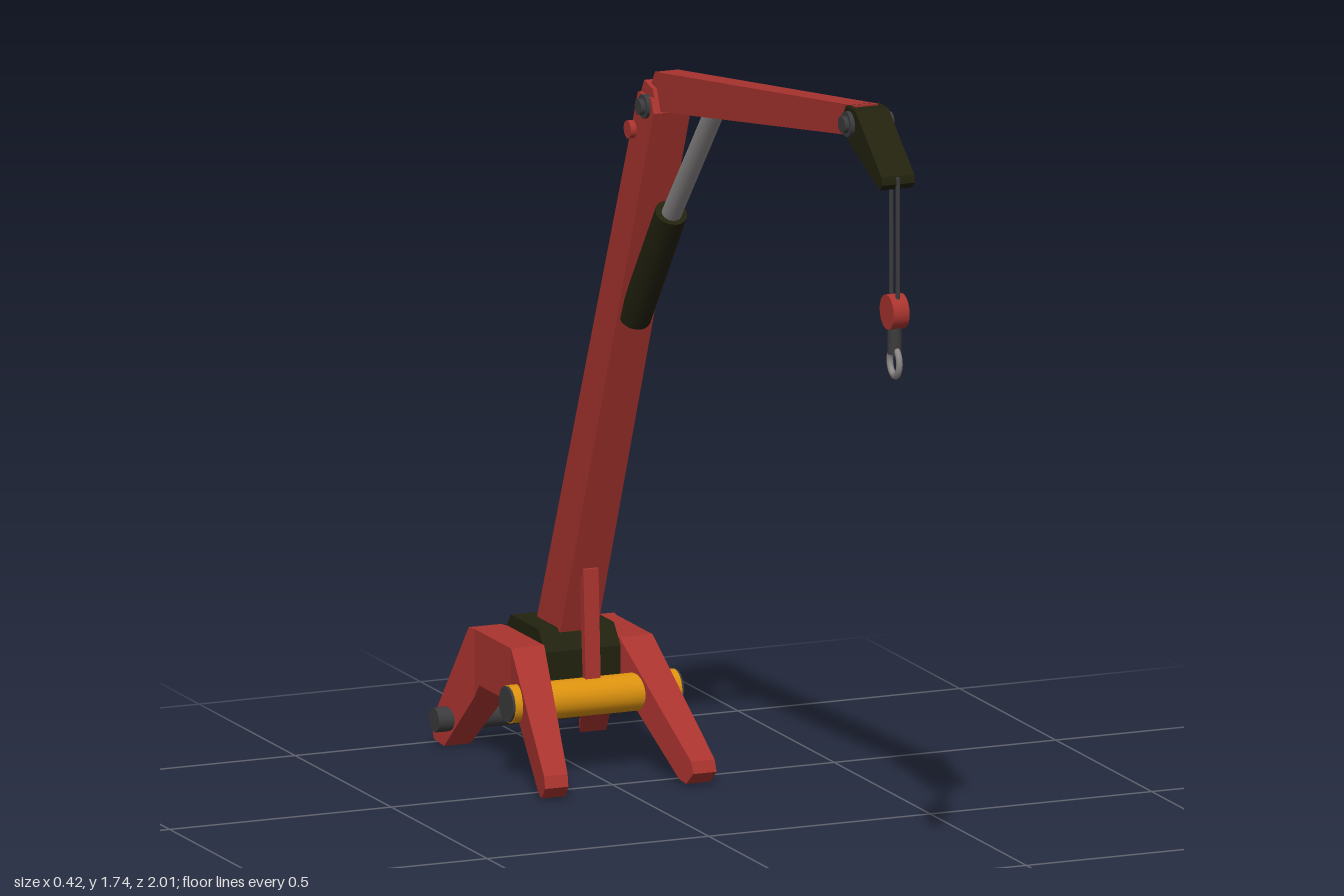
import * as THREE from 'three';

const paint = (name, color) => {
  const m = new THREE.MeshStandardMaterial({ color });
  m.name = name;
  return m;
};

export function createModel() {
  const red = paint('red paint', 0xab342f);
  const black = paint('olive black', 0x22220f);
  const orange = paint('orange', 0xdc920f);
  const dark = paint('dark steel', 0x3c3c3e);
  const steel = paint('light steel', 0x8c8888);

  const crane = new THREE.Group();
  crane.name = 'crane';

  const add = (name, geometry, material) => {
    const mesh = new THREE.Mesh(geometry, material);
    mesh.name = name;
    crane.add(mesh);
    return mesh;
  };

  // Side profile of [z, y] points, extruded across x and centred
  const plate = (points, width) => {
    const shape = new THREE.Shape(points.map(([z, y]) => new THREE.Vector2(z, y)));
    const g = new THREE.ExtrudeGeometry(shape, { depth: width, bevelEnabled: false });
    return g.translate(0, 0, -width / 2).rotateY(-Math.PI / 2);
  };

  // Round bar between two points
  const rod = (name, a, b, radius, material, radiusEnd = radius, sides = 20) => {
    const from = new THREE.Vector3(...a), to = new THREE.Vector3(...b);
    const dir = to.clone().sub(from);
    const mesh = add(name, new THREE.CylinderGeometry(radiusEnd, radius, dir.length(), sides), material);
    mesh.position.copy(from).add(to).multiplyScalar(0.5);
    mesh.quaternion.setFromUnitVectors(new THREE.Vector3(0, 1, 0), dir.normalize());
    return mesh;
  };

  // Pin lying across the model
  const pin = (name, y, z, radius, half, material) =>
    rod(name, [-half, y, z], [half, y, z], radius, material);

  // Splayed legs: straight middle, front and rear parts leaning outward
  const legParts = {
    legMiddle: [[-0.66, 0.27], [-0.85, 0.27], [-0.85, 0.125], [-0.825, 0.155], [-0.66, 0.155]],
    frontLeg: [[-0.66, 0.27], [-0.66, 0.155], [-0.635, 0.155], [-0.455, 0.01], [-0.43, 0.004],
      [-0.405, 0.03], [-0.413, 0.055]],
    rearLeg: [[-0.85, 0.27], [-0.87, 0.27], [-1, 0.04], [-0.99, 0.008], [-0.955, 0], [-0.85, 0.125]],
  };
  for (const side of [1, -1]) {
    for (const [name, points] of Object.entries(legParts)) {
      const g = plate(points, 1);
      const p = g.attributes.position;
      for (let i = 0; i < p.count; i++) {
        const z = p.getZ(i);
        const t = Math.max(0, (z + 0.66) / 0.25, (-0.85 - z) / 0.15);
        const inner = 0.085 + 0.055 * t, outer = 0.16 + 0.033 * t;
        p.setX(i, side * (inner + (outer - inner) * (0.5 + side * p.getX(i))));
      }
      g.computeVertexNormals();
      add(name + (side > 0 ? 'Left' : 'Right'), g, red);
    }
  }

  // Base block and cross bars
  add('baseBlock', plate([[-0.655, 0.16], [-0.655, 0.255], [-0.69, 0.297], [-0.835, 0.297],
    [-0.895, 0.22], [-0.895, 0.16]], 0.17), black);
  pin('frontRoller', 0.165, -0.61, 0.04, 0.188, orange);
  pin('rollerCaps', 0.165, -0.61, 0.038, 0.193, dark);
  pin('rearBar', 0.06, -0.945, 0.026, 0.21, dark);
  rod('lowerBrace', [0, 0.16, -0.61], [0, 0.065, -0.94], 0.013, red);
  add('frontBrace', plate([[-0.6, 0.18], [-0.613, 0.435], [-0.635, 0.44], [-0.615, 0.18]], 0.034), red);

  // Main boom with its knuckle
  add('mainBoom', plate([[-0.675, 0.29], [-0.80, 0.29], [-0.292, 1.48], [-0.272, 1.53],
    [-0.203, 1.53], [-0.19, 1.5]], 0.084), red);
  add('boomTip', plate([[-0.19, 1.5], [-0.21, 1.548], [-0.255, 1.558], [-0.272, 1.53], [-0.285, 1.48]], 0.07), red);
  pin('boomStop', 1.445, -0.297, 0.019, 0.055, red);
  pin('knucklePin', 1.508, -0.23, 0.025, 0.05, dark);
  pin('knucklePinEnds', 1.508, -0.23, 0.017, 0.06, dark);

  // Upper arm and head
  add('upperArm', plate([[0.81, 1.672], [0.822, 1.738], [-0.22, 1.582], [-0.247, 1.54], [-0.19, 1.503]], 0.052), red);
  add('armHead', plate([[0.80, 1.668], [0.775, 1.70], [0.80, 1.735], [0.85, 1.733], [0.985, 1.622],
    [0.988, 1.605], [0.975, 1.592]], 0.074), black);
  pin('headPin', 1.70, 0.82, 0.027, 0.046, dark);
  pin('headPinEnds', 1.70, 0.82, 0.018, 0.056, dark);

  // Hydraulic cylinder
  rod('cylinderBarrel', [0, 1.02, -0.385], [0, 1.285, -0.195], 0.034, black);
  rod('cylinderRod', [0, 1.27, -0.205], [0, 1.555, 0.035], 0.021, steel);

  // Cables, pulley and hook
  for (const z of [0.951, 0.985]) rod('cable', [0, 1.33, z], [0, 1.62, z], 0.005, dark, 0.005, 8);
  pin('pulley', 1.33, 0.968, 0.037, 0.018, red);
  rod('hookShank', [0, 1.24, 0.968], [0, 1.31, 0.968], 0.015, dark);
  const ring = add('hookRing', new THREE.TorusGeometry(0.025, 0.007, 10, 24), steel);
  ring.rotation.y = Math.PI / 2;
  ring.position.set(0, 1.222, 0.968);
  ring.scale.y = 1.15;

  return crane;
}
